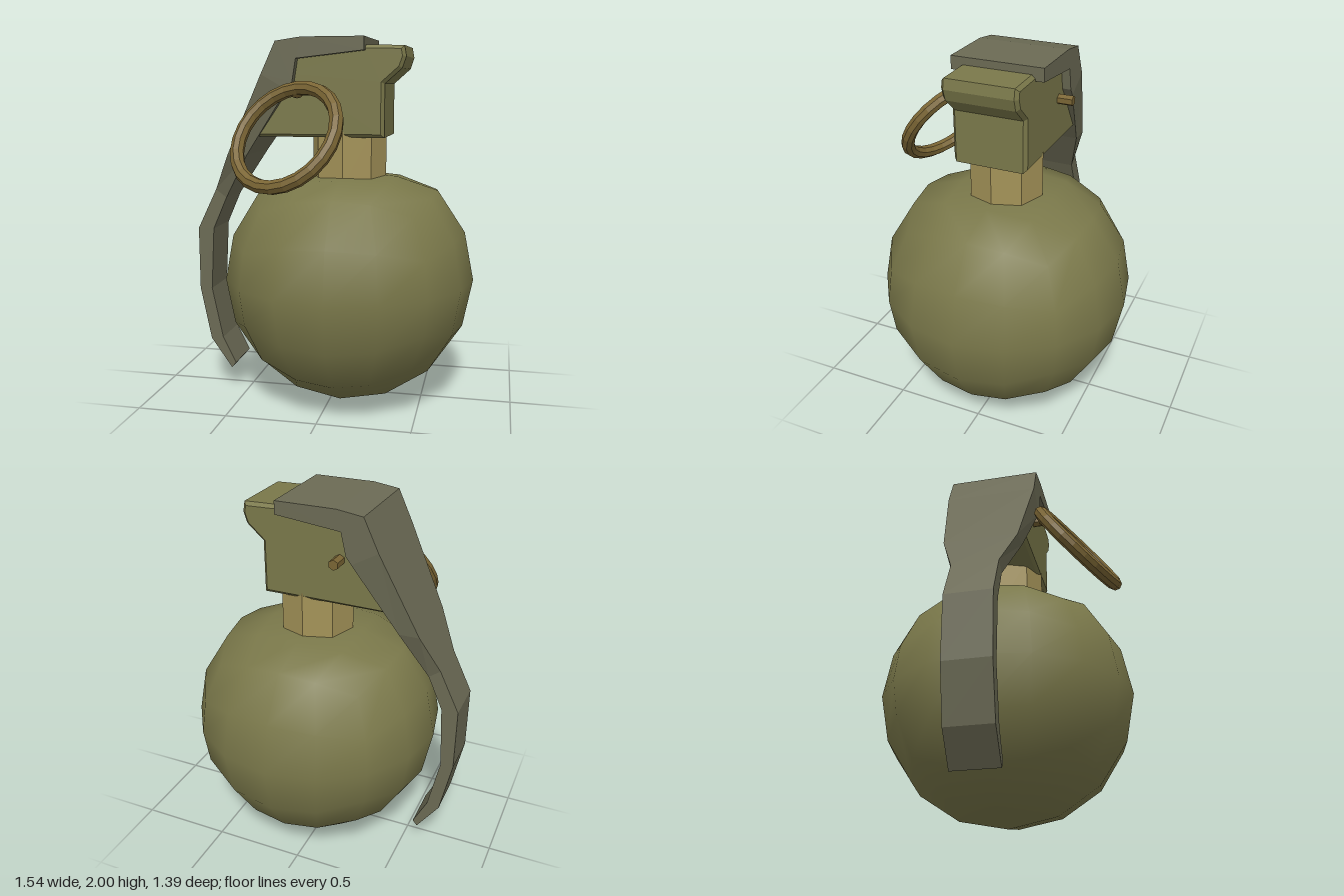
import * as THREE from 'three';
import { mergeVertices, toCreasedNormals } from 'three/addons/utils/BufferGeometryUtils.js';

const material = (color, flatShading = false) => new THREE.MeshStandardMaterial({ color, flatShading });

function addMesh(parent, name, geometry, mat, x = 0, y = 0, z = 0) {
  const mesh = new THREE.Mesh(geometry, mat);
  mesh.name = name;
  mesh.position.set(x, y, z);
  parent.add(mesh);
  return mesh;
}

// Subdivided cube pushed onto a sphere, with its top flattened
function shellGeometry(radius) {
  const box = new THREE.BoxGeometry(2, 2, 2, 4, 4, 4);
  box.deleteAttribute('normal');
  box.deleteAttribute('uv');
  const geometry = mergeVertices(box);
  const pos = geometry.attributes.position;
  const v = new THREE.Vector3();
  const bend = (c) => Math.tan(c * Math.PI / 4);
  for (let i = 0; i < pos.count; i++) {
    v.fromBufferAttribute(pos, i);
    v.set(bend(v.x), bend(v.y), bend(v.z)).setLength(radius);
    if (v.y > 0.5) v.y = 0.5 + (v.y - 0.5) * 0.45;
    pos.setXYZ(i, v.x, v.y, v.z);
  }
  geometry.computeVertexNormals();
  return geometry;
}

// Solid strip lofted through sections [outerX, outerY, innerX, innerY, halfWidth]
function stripGeometry(sections) {
  const rings = sections.map(([ox, oy, ix, iy, w]) => [[ox, oy, w], [ox, oy, -w], [ix, iy, -w], [ix, iy, w]]);
  const points = [];
  const quad = (a, b, c, d) => points.push(...a, ...b, ...c, ...a, ...c, ...d);
  for (let i = 0; i < rings.length - 1; i++) {
    const a = rings[i], b = rings[i + 1];
    for (let j = 0; j < 4; j++) {
      const k = (j + 1) % 4;
      quad(a[j], a[k], b[k], b[j]);
    }
  }
  const [s, e] = [rings[0], rings[rings.length - 1]];
  quad(s[0], s[3], s[2], s[1]);
  quad(e[0], e[1], e[2], e[3]);
  const geometry = new THREE.BufferGeometry();
  geometry.setAttribute('position', new THREE.Float32BufferAttribute(points, 3));
  geometry.computeVertexNormals();
  return geometry;
}

export function createModel() {
  const group = new THREE.Group();
  const olive = material(0x7a784a);
  const oliveFlat = material(0x7a784a, true);
  const leverGrey = material(0x6b6a54, true);
  const brass = material(0x7a6534, true);
  const tan = material(0xa39258, true);

  // Round shell and neck
  addMesh(group, 'shell', shellGeometry(0.695), olive, 0.08, 0.695, 0);
  addMesh(group, 'neck', new THREE.CylinderGeometry(0.205, 0.205, 0.3, 8), tan, 0.08, 1.36, 0);

  // Fuse head with an overhanging lip
  const profile = new THREE.Shape([
    [-0.4, 1.48], [0.3, 1.48], [0.3, 1.76], [0.39, 1.84], [0.41, 1.9],
    [0.4, 1.955], [0.2, 1.96], [-0.16, 1.93], [-0.22, 1.82],
  ].map(([x, y]) => new THREE.Vector2(x, y)));
  const head = new THREE.ExtrudeGeometry(profile, {
    depth: 0.37, bevelEnabled: true, bevelSize: 0.018, bevelThickness: 0.018, bevelOffset: -0.018, bevelSegments: 1,
  });
  head.translate(0, 0, -0.185);
  addMesh(group, 'fuseHead', toCreasedNormals(head, 0.3), oliveFlat);

  // Safety lever, narrowing as it bends down beside the shell
  addMesh(group, 'lever', stripGeometry([
    [0.2, 2, 0.2, 1.93, 0.25],
    [-0.13, 2, -0.16, 1.89, 0.25],
    [-0.27, 1.98, -0.18, 1.77, 0.25],
    [-0.35, 1.81, -0.21, 1.73, 0.25],
    [-0.56, 1.38, -0.45, 1.38, 0.2],
    [-0.66, 1.175, -0.6, 1.13, 0.125],
    [-0.77, 0.95, -0.68, 0.95, 0.125],
    [-0.77, 0.6, -0.7, 0.6, 0.125],
    [-0.71, 0.3, -0.64, 0.31, 0.125],
    [-0.59, 0.13, -0.565, 0.16, 0.125],
  ]), leverGrey);

  // Pin through the head, its knob, and the pull ring
  const pin = addMesh(group, 'pin', new THREE.CylinderGeometry(0.028, 0.028, 0.57, 6), brass, -0.13, 1.73, 0);
  pin.rotation.x = Math.PI / 2;
  addMesh(group, 'pinKnob', new THREE.SphereGeometry(0.045, 8, 6), brass, -0.145, 1.73, 0.28);
  const ring = addMesh(group, 'pullRing', new THREE.TorusGeometry(0.289, 0.037, 8, 24), brass, -0.16, 1.5, 0.46);
  ring.quaternion.setFromUnitVectors(new THREE.Vector3(0, 0, 1), new THREE.Vector3(-0.31, 0.56, 0.77).normalize());

  return group;
}
